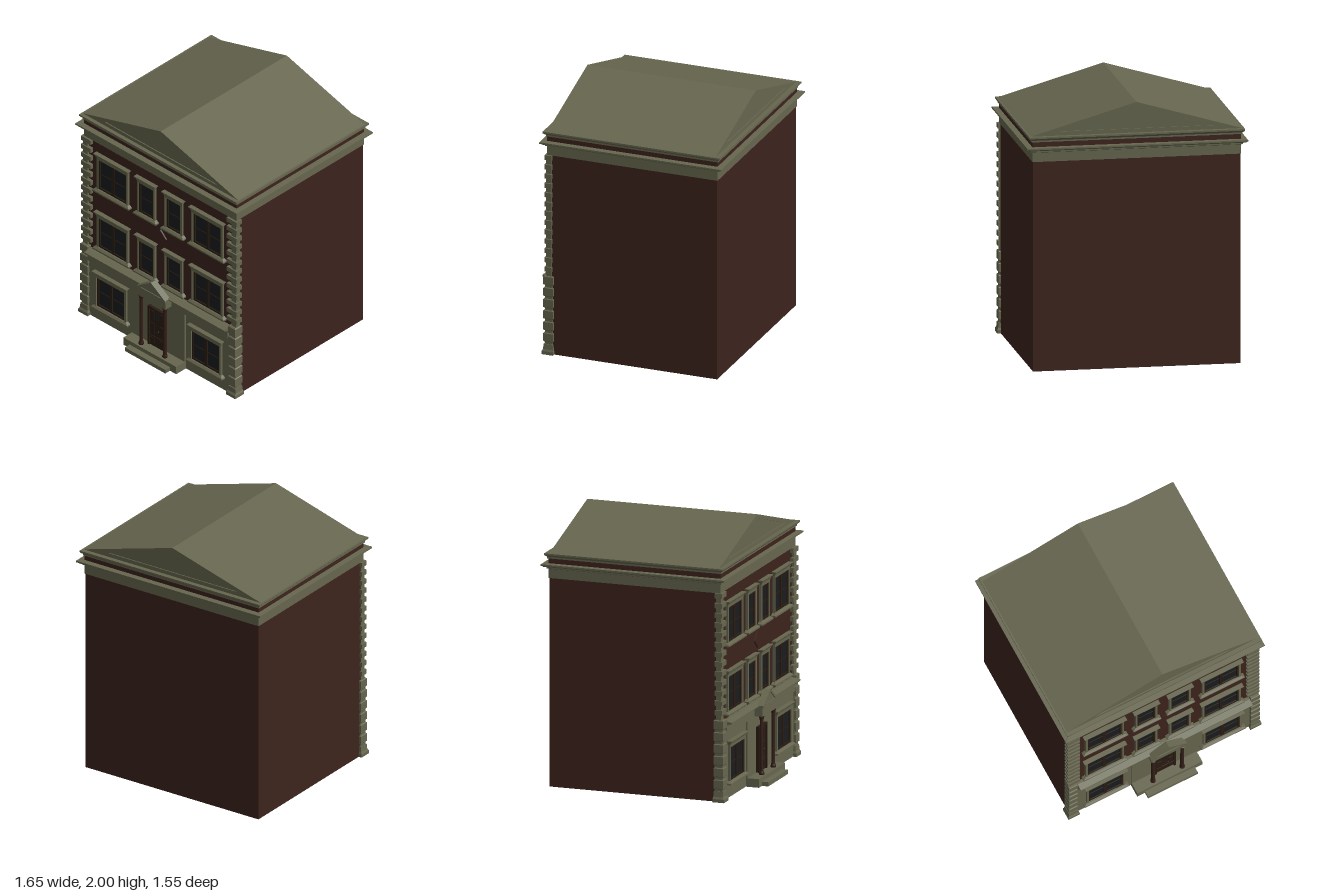
import * as THREE from 'three';

const mat = (color) => new THREE.MeshStandardMaterial({ color, flatShading: true });
const STONE = mat(0x66664f), BRICK = mat(0x3d231c), GLASS = mat(0x191c1e), WOOD = mat(0x2a1c12), COLUMN = new THREE.MeshStandardMaterial({ color: 0x351f18 });

function add(parent, name, geometry, material) {
  const mesh = new THREE.Mesh(geometry, material);
  mesh.name = name;
  parent.add(mesh);
  return mesh;
}

// Box given by its limits
function box(parent, name, m, x0, x1, y0, y1, z0, z1) {
  const g = new THREE.BoxGeometry(x1 - x0, y1 - y0, z1 - z0);
  g.translate((x0 + x1) / 2, (y0 + y1) / 2, (z0 + z1) / 2);
  return add(parent, name, g, m);
}

// Stack of rectangular rings [y, halfWidth, zBack, zFront] joined into a closed moulding
function moulding(parent, name, m, rings, cx = 0) {
  const pos = [], idx = [];
  for (const [y, h, b, f] of rings) pos.push(cx - h, y, f, cx + h, y, f, cx + h, y, b, cx - h, y, b);
  for (let r = 0; r < rings.length - 1; r++) {
    for (let i = 0; i < 4; i++) {
      const a = r * 4 + i, b = r * 4 + (i + 1) % 4;
      idx.push(a, b, b + 4, a, b + 4, a + 4);
    }
  }
  const t = (rings.length - 1) * 4;
  idx.push(0, 2, 1, 0, 3, 2, t, t + 1, t + 2, t, t + 2, t + 3);
  let g = new THREE.BufferGeometry();
  g.setAttribute('position', new THREE.Float32BufferAttribute(pos, 3));
  g.setIndex(idx);
  g = g.toNonIndexed();
  g.computeVertexNormals();
  return add(parent, name, g, m);
}

// Triangular prism, optionally with a triangular opening
function gable(parent, name, m, half, y0, y1, z0, z1, hole) {
  const tri = (C, h, a, b) => new C([new THREE.Vector2(-h, a), new THREE.Vector2(h, a), new THREE.Vector2(0, b)]);
  const s = tri(THREE.Shape, half, y0, y1);
  if (hole) s.holes.push(tri(THREE.Path, ...hole));
  const g = new THREE.ExtrudeGeometry(s, { depth: z1 - z0, bevelEnabled: false });
  g.translate(0, 0, z0);
  return add(parent, name, g, m);
}

// Window with stone surround, lintel, sill and divided wooden sashes
function windowUnit(parent, cx, y0, y1, half, sashes, wall) {
  const g = new THREE.Group();
  g.name = 'window';
  const e = 0.016, back = wall - 0.01;
  for (const s of [-1, 1]) {
    const a = cx + s * half, b = cx + s * (half + e);
    box(g, 'windowJamb', STONE, Math.min(a, b), Math.max(a, b), y0 - 0.01, y1 + 0.01, back, wall + 0.02);
  }
  moulding(g, 'windowLintel', STONE, [
    [y1, half + e, back, wall + 0.02], [y1 + 0.018, half + e, back, wall + 0.02],
    [y1 + 0.02, half + 0.02, back, wall + 0.024], [y1 + 0.032, half + 0.022, back, wall + 0.026],
    [y1 + 0.042, half + 0.033, back, wall + 0.036], [y1 + 0.05, half + 0.033, back, wall + 0.036]], cx);
  moulding(g, 'windowSill', STONE, [
    [y0 - 0.026, half + 0.042, back, wall + 0.036], [y0 - 0.014, half + 0.042, back, wall + 0.036],
    [y0, half + 0.02, back, wall + 0.022]], cx);
  box(g, 'windowGlass', GLASS, cx - half, cx + half, y0, y1, back, wall + 0.002);
  const f = 0.014, bar = (n, x0, x1, a, b, z) => box(g, n, WOOD, x0, x1, a, b, back, wall + z);
  bar('topRail', cx - half, cx + half, y1 - f, y1, 0.012);
  bar('bottomRail', cx - half, cx + half, y0, y0 + f, 0.012);
  bar('sideStile', cx - half, cx - half + f, y0, y1, 0.0115);
  bar('sideStile', cx + half - f, cx + half, y0, y1, 0.0115);
  if (sashes === 2) bar('centreMullion', cx - 0.012, cx + 0.012, y0, y1, 0.0115);
  const mid = (y0 + y1) / 2;
  bar('meetingRail', cx - half, cx + half, mid - 0.004, mid + 0.004, 0.007);
  parent.add(g);
}

export function createModel() {
  const house = new THREE.Group();
  house.name = 'townHouse';
  const WALL = 0.605, BASE = 0.622, BAY = 0.635;

  // Brick body
  box(house, 'brickBody', BRICK, -0.775, 0.775, 0, 1.6, -0.73, WALL);

  // Frieze and the two cornices round all sides
  const ring = (y, o) => [y, 0.78 + o, -0.735 - o, 0.615 + o];
  moulding(house, 'frieze', STONE, [ring(1.58, 0), ring(1.65, 0), ring(1.655, 0.012), ring(1.665, 0.012),
    ring(1.668, 0.03), ring(1.675, 0.036), ring(1.678, 0.045), ring(1.69, 0.045), ring(1.692, 0)]);
  moulding(house, 'brickParapet', BRICK, [ring(1.69, 0), ring(1.735, 0)]);
  moulding(house, 'upperCornice', STONE, [ring(1.73, 0.008), ring(1.742, 0.008), ring(1.752, 0.02),
    ring(1.758, 0.026), ring(1.77, 0.026)]);

  // Gabled roof with raised raking borders at both ends
  gable(house, 'roof', STONE, 0.8, 1.768, 2, -0.717, 0.602);
  for (const [a, b] of [[-0.725, -0.717], [0.602, 0.61]]) {
    gable(house, 'rakingBorder', STONE, 0.8, 1.768, 2, a, b, [0.58, 1.8, 1.972]);
  }

  // Corner quoins at the front, mirrored
  for (const s of [-1, 1]) {
    const quoins = new THREE.Group();
    quoins.name = s > 0 ? 'leftQuoins' : 'rightQuoins';
    const n = 26, p = (1.58 - 0.62) / n;
    for (let i = 0; i < n; i++) {
      const long = i % 2, y = 0.62 + i * p;
      const xi = long ? 0.695 : 0.735, xo = long ? 0.795 : 0.782;
      box(quoins, 'quoin', STONE, Math.min(s * xi, s * xo), Math.max(s * xi, s * xo),
        y, y + p, long ? 0.573 : 0.58, long ? 0.632 : 0.622);
    }
    box(quoins, 'pierCore', STONE, s > 0 ? 0.72 : -0.785, s > 0 ? 0.785 : -0.72, 0, 0.62, 0.57, 0.632);
    for (let i = 0; i < 7; i++) {
      const y = i * 0.09 + 0.008, h = i ? 0.037 : 0.04, b = 0.006;
      const r = (yy, d) => [yy, h - d, 0.564 + d, 0.642 - d];
      const rings = i ? [r(y, b), r(y + b, 0), r(y + 0.066, 0), r(y + 0.072, b)]
        : [[0, 0.047, 0.56, 0.652], [0.025, 0.047, 0.56, 0.652], [0.04, 0.04, 0.564, 0.642], [0.08, 0.036, 0.567, 0.64]];
      moulding(quoins, 'pierBlock', STONE, rings, s * 0.755);
    }
    house.add(quoins);
  }

  // Stone ground floor, centre bay and string course
  box(house, 'groundFloorFacing', STONE, -0.73, 0.73, 0, 0.51, 0.59, BASE);
  box(house, 'entranceBay', STONE, -0.27, 0.27, 0, 0.505, 0.59, BAY);
  moulding(house, 'stringCourse', STONE, [[0.5, 0.715, 0.59, 0.642], [0.568, 0.715, 0.59, 0.642],
    [0.575, 0.715, 0.59, 0.668], [0.582, 0.715, 0.59, 0.68], [0.59, 0.715, 0.59, 0.68], [0.6, 0.715, 0.59, 0.63]]);

  // Windows
  for (const s of [-1, 1]) {
    windowUnit(house, s * 0.485, 0.13, 0.385, 0.143, 2, BASE);
    for (const [a, b] of [[0.652, 0.915], [1.175, 1.44]]) {
      windowUnit(house, s * 0.485, a, b, 0.143, 2, WALL);
      windowUnit(house, s * 0.14, a, b, 0.074, 1, WALL);
    }
  }

  // Diamond ornament in the brickwork
  const diamond = box(house, 'diamondOrnament', BRICK, -0.036, 0.036, -0.036, 0.036, 0, 0.02);
  diamond.rotation.z = Math.PI / 4;
  diamond.scale.x = diamond.scale.y = 1.2;
  diamond.position.set(0, 1.052, WALL - 0.008);

  // Steps
  box(house, 'upperStep', STONE, -0.27, 0.27, 0, 0.065, 0.6, 0.725);
  box(house, 'lowerStep', STONE, -0.207, 0.207, 0, 0.032, 0.6, 0.775);

  // Door with raised frame, panels and handle
  const door = new THREE.Group();
  door.name = 'door';
  box(door, 'doorLeaf', WOOD, -0.085, 0.085, 0.065, 0.41, 0.62, 0.647);
  for (const s of [-1, 1]) {
    const bar = (n, m, xa, xb, a, b, z) => box(door, n, m, Math.min(s * xa, s * xb), Math.max(s * xa, s * xb), a, b, 0.63, z);
    bar('doorJamb', WOOD, 0.072, 0.087, 0.065, 0.412, 0.658);
    for (const [a, b] of [[0.09, 0.14], [0.165, 0.27], [0.295, 0.38]]) {
      bar('doorPanel', WOOD, 0.027, 0.063, a, b, 0.653);
    }
    bar('doorLight', GLASS, 0.004, 0.017, 0.3, 0.4, 0.65);
  }
  box(door, 'doorHead', WOOD, -0.072, 0.072, 0.397, 0.412, 0.63, 0.658);
  box(door, 'doorRail', WOOD, -0.072, 0.072, 0.145, 0.157, 0.63, 0.654);
  const knob = add(door, 'doorKnob', new THREE.SphereGeometry(0.007, 10, 8), COLUMN);
  knob.position.set(0.02, 0.22, 0.657);
  house.add(door);

  // Columns carrying the porch
  const profile = [[0, 0], [0.02, 0], [0.02, 0.012], [0.016, 0.022], [0.0145, 0.03], [0.0135, 0.41],
    [0.016, 0.418], [0.016, 0.424], [0.02, 0.434], [0.02, 0.442], [0, 0.442]].map((p) => new THREE.Vector2(...p));
  for (const s of [-1, 1]) {
    const column = add(house, 'porchColumn', new THREE.LatheGeometry(profile, 16), COLUMN);
    column.position.set(s * 0.121, 0.065, 0.69);
  }

  // Porch entablature and pediment
  box(house, 'porchEntablature', STONE, -0.14, 0.14, 0.505, 0.575, 0.62, 0.704);
  box(house, 'porchCornice', STONE, -0.147, 0.147, 0.572, 0.588, 0.66, 0.714);
  gable(house, 'porchPediment', STONE, 0.145, 0.587, 0.685, 0.66, 0.708);
  gable(house, 'porchPedimentBorder', STONE, 0.147, 0.587, 0.687, 0.704, 0.715, [0.105, 0.594, 0.668]);
  return house;
}
